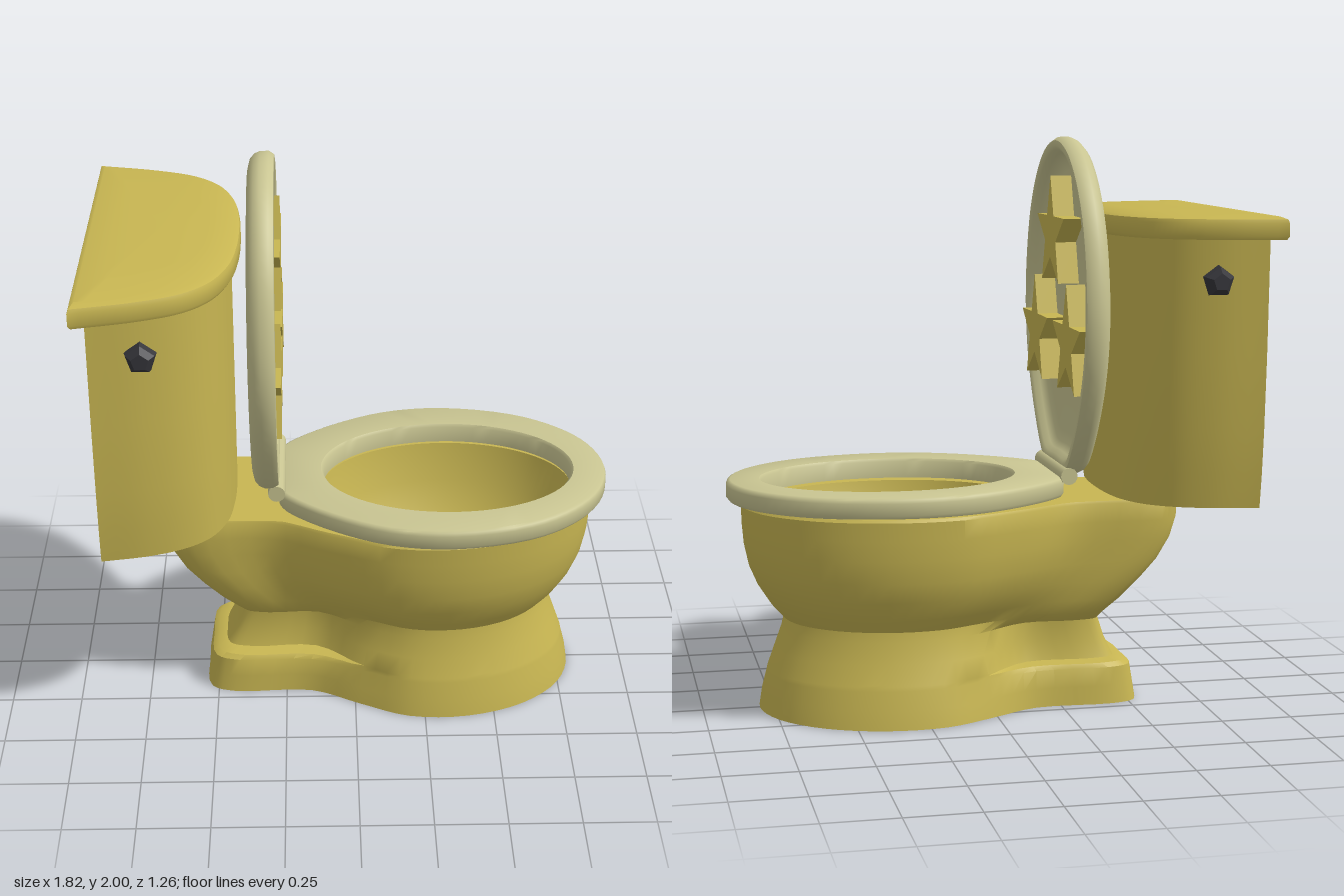
import * as THREE from 'three';
import { toCreasedNormals } from 'three/addons/utils/BufferGeometryUtils.js';

const N = 72;
const gold = new THREE.MeshStandardMaterial({ color: 0xc8b652 });
const cream = new THREE.MeshStandardMaterial({ color: 0xc9c592 });
const dark = new THREE.MeshStandardMaterial({ color: 0x35353a });

// Closed mirrored outline from its +z half, front to back, as [x, z] points
function roundOutline(half) {
  const mirrored = half.slice(1, -1).reverse().map(([x, z]) => [x, -z]);
  const pts = [...half, ...mirrored].map(([x, z]) => new THREE.Vector3(x, 0, z));
  return new THREE.CatmullRomCurve3(pts, true).getPoints(N);
}

// Curved front with a straight back edge and sharp back corners
function flatBackOutline(half) {
  const mirrored = half.slice(1).reverse().map(([x, z]) => [x, -z]);
  const pts = [...mirrored, ...half].map(([x, z]) => new THREE.Vector3(x, 0, z));
  const ring = new THREE.CatmullRomCurve3(pts).getPoints(N - 1);
  return [...ring, ring[0].clone()];
}

function ellipse(cx, rx, rz) {
  return Array.from({ length: N + 1 }, (_, i) => {
    const a = (i / N) * Math.PI * 2;
    return new THREE.Vector3(cx + rx * Math.cos(a), 0, rz * Math.sin(a));
  });
}

function diamond(cx, rx, rz) {
  return ellipse(cx, 1, 1).map((p) => {
    const c = p.x - cx, s = p.z, k = Math.abs(c) + Math.abs(s);
    return new THREE.Vector3(cx + (rx * c) / k, 0, (rz * s) / k);
  });
}

const at = (ring, y) => ring.map((p) => new THREE.Vector3(p.x, y, p.z));
const scaled = (ring, cx, sx, sz = sx) =>
  ring.map((p) => new THREE.Vector3(cx + (p.x - cx) * sx, 0, p.z * sz));

// Skin over successive rings
function loft(rings, crease = 0.6) {
  const pos = [], idx = [], w = rings[0].length;
  rings.forEach((r) => r.forEach((p) => pos.push(p.x, p.y, p.z)));
  for (let i = 0; i < rings.length - 1; i++) {
    for (let j = 0; j < w - 1; j++) {
      const a = i * w + j, b = a + 1, c = a + w, d = c + 1;
      idx.push(a, c, b, b, c, d);
    }
  }
  const geo = new THREE.BufferGeometry();
  geo.setAttribute('position', new THREE.Float32BufferAttribute(pos, 3));
  geo.setIndex(idx);
  return toCreasedNormals(geo.toNonIndexed(), crease);
}

function add(parent, name, geo, mat, x = 0, y = 0, z = 0) {
  const mesh = new THREE.Mesh(geo, mat);
  mesh.name = name;
  mesh.position.set(x, y, z);
  parent.add(mesh);
  return mesh;
}

// Bowl section: elliptical front, waist and narrower rear
function bowlSection([y, front, w, cx, rBack, waist, rearW, back]) {
  const half = [0, 26, 52, 78, 104, 130].map((deg) => {
    const a = THREE.MathUtils.degToRad(deg), c = Math.cos(a);
    return [cx + c * (c > 0 ? front - cx : rBack), w * Math.sin(a)];
  });
  half.push([waist, rearW], [back + 0.1, rearW], [back + 0.015, rearW * 0.82], [back, 0]);
  return at(roundOutline(half), y);
}

function starShape(r, inner) {
  const pts = Array.from({ length: 10 }, (_, i) => {
    const a = Math.PI / 2 + (i * Math.PI) / 5, k = i % 2 ? inner : r;
    return new THREE.Vector2(k * Math.cos(a), k * Math.sin(a));
  });
  return new THREE.Shape(pts);
}

export function createModel() {
  const model = new THREE.Group();
  model.name = 'toilet';

  // Pedestal and bowl: outer skin upward, then the basin down to the drain
  const outer = [
    [0.005, 0.8, 0.39, 0.3, 0.44, -0.16, 0.21, -0.54],
    [0.07, 0.79, 0.38, 0.3, 0.43, -0.16, 0.205, -0.53],
    [0.135, 0.773, 0.363, 0.3, 0.42, -0.16, 0.2, -0.52],
    [0.15, 0.77, 0.36, 0.3, 0.42, -0.15, 0.19, -0.5],
    [0.155, 0.768, 0.358, 0.3, 0.42, -0.14, 0.14, -0.47],
    [0.22, 0.745, 0.338, 0.3, 0.4, -0.13, 0.125, -0.44],
    [0.295, 0.718, 0.32, 0.3, 0.38, -0.13, 0.13, -0.415],
    [0.33, 0.71, 0.316, 0.3, 0.4, -0.16, 0.17, -0.435],
    [0.38, 0.755, 0.355, 0.29, 0.45, -0.2, 0.19, -0.49],
    [0.45, 0.8, 0.395, 0.28, 0.5, -0.25, 0.21, -0.555],
    [0.52, 0.83, 0.417, 0.28, 0.54, -0.28, 0.22, -0.615],
    [0.6, 0.847, 0.428, 0.28, 0.56, -0.3, 0.23, -0.66],
    [0.67, 0.853, 0.432, 0.28, 0.57, -0.3, 0.235, -0.68],
    [0.735, 0.855, 0.434, 0.28, 0.57, -0.3, 0.235, -0.683],
    [0.745, 0.848, 0.427, 0.28, 0.57, -0.3, 0.23, -0.677],
  ].map(bowlSection);
  const inner = [
    at(ellipse(0.335, 0.45, 0.325), 0.745),
    at(ellipse(0.33, 0.42, 0.3), 0.6),
    at(ellipse(0.315, 0.36, 0.245), 0.48),
    at(ellipse(0.3, 0.3, 0.19), 0.4),
    at(diamond(0.25, 0.15, 0.13), 0.34),
    at(diamond(0.22, 0.115, 0.1), 0.005),
  ];
  add(model, 'bowl', loft([...outer, ...inner, outer[0]]), gold, 0, -0.005, 0);

  // Seat and lid share an outline that starts at the hinge
  const oval = roundOutline([[1.17, 0], [1.13, 0.17], [1.03, 0.304], [0.87, 0.409], [0.6, 0.467],
    [0.38, 0.437], [0.18, 0.335], [0.03, 0.21], [0, 0.16], [0, 0]]);
  const hole = ellipse(0.6, 0.445, 0.32);
  const ovalAt = (s, y) => at(scaled(oval, 0.585, s), y);
  const seatBottom = ovalAt(0.985, 0.75);
  add(model, 'seat', loft([
    seatBottom, ovalAt(1, 0.762), ovalAt(1, 0.803), ovalAt(0.992, 0.815), ovalAt(0.975, 0.82),
    at(scaled(hole, 0.6, 1.02), 0.82), at(hole, 0.81), at(hole, 0.75), seatBottom,
  ], 0.8), cream, -0.265);

  // Raised lid with a recessed inner face
  const lid = add(model, 'lid', loft([
    [0, 0.325], [0.8, 0.325], [0.87, 0.318], [0.905, 0.295], [0.925, 0.275], [0.95, 0.266],
    [0.98, 0.268], [1, 0.285], [1, 0.315], [0.985, 0.335], [0.955, 0.35], [0.9, 0.358],
    [0.75, 0.361], [0, 0.361],
  ].map(([s, h]) => ovalAt(s, h)), 0.8), cream, 0, 0.83, 0);
  lid.rotation.z = Math.PI / 2;

  // Hinge bar joining lid and seat
  const hinge = add(model, 'hinge', new THREE.CylinderGeometry(0.03, 0.03, 0.4, 16), cream, -0.275, 0.825, 0);
  hinge.rotation.x = Math.PI / 2;

  // Three raised stars on the lid
  const starGeo = new THREE.ExtrudeGeometry(starShape(0.205, 0.08), { depth: 0.08, bevelEnabled: false });
  for (const [y, z] of [[1.66, 0], [1.295, 0.235], [1.295, -0.235]]) {
    add(model, 'star', starGeo, gold, -0.33, y, z).rotation.y = Math.PI / 2;
  }

  // Tank, narrowing towards its base
  const tankOutline = flatBackOutline([[-0.42, 0], [-0.425, 0.14], [-0.445, 0.28], [-0.5, 0.405],
    [-0.58, 0.48], [-0.7, 0.535], [-0.865, 0.572]]);
  add(model, 'tank', loft([
    [0, 0, 0.75], [1, 0.9, 0.75], [1, 0.93, 0.87], [1, 0.955, 1.02], [1, 0.98, 1.28],
    [1, 1, 1.68], [0, 0, 1.68],
  ].map(([sx, sz, y]) => at(scaled(tankOutline, -0.64, sx, sz), y))), gold);

  // Overhanging tank cover with a soft top edge
  const coverOutline = flatBackOutline([[-0.385, 0], [-0.39, 0.14], [-0.412, 0.29], [-0.47, 0.43],
    [-0.56, 0.52], [-0.7, 0.58], [-0.91, 0.632]]);
  add(model, 'tankCover', loft([
    [0, 0, 1.67], [0.97, 0.99, 1.67], [1, 1, 1.682], [1, 1, 1.725], [0.985, 0.99, 1.738],
    [0.93, 0.93, 1.746], [0.6, 0.6, 1.755], [0, 0, 1.757],
  ].map(([sx, sz, y]) => at(scaled(coverOutline, -0.65, sx, sz), y))), gold);

  // Five-sided knobs on both sides of the tank
  const knobProfile = [[0, -0.035], [0.035, -0.035], [0.056, -0.008], [0.05, 0.015], [0.03, 0.036], [0, 0.036]];
  const knobGeo = toCreasedNormals(
    new THREE.LatheGeometry(knobProfile.map(([r, y]) => new THREE.Vector2(r, y)), 5).toNonIndexed(), 0.3);
  for (const side of [1, -1]) {
    const knob = add(model, 'knob', knobGeo, dark, -0.695, 1.53, side * 0.55);
    knob.rotation.set(side * Math.PI / 2, side > 0 ? Math.PI : 0, 0);
  }
  return model;
}
